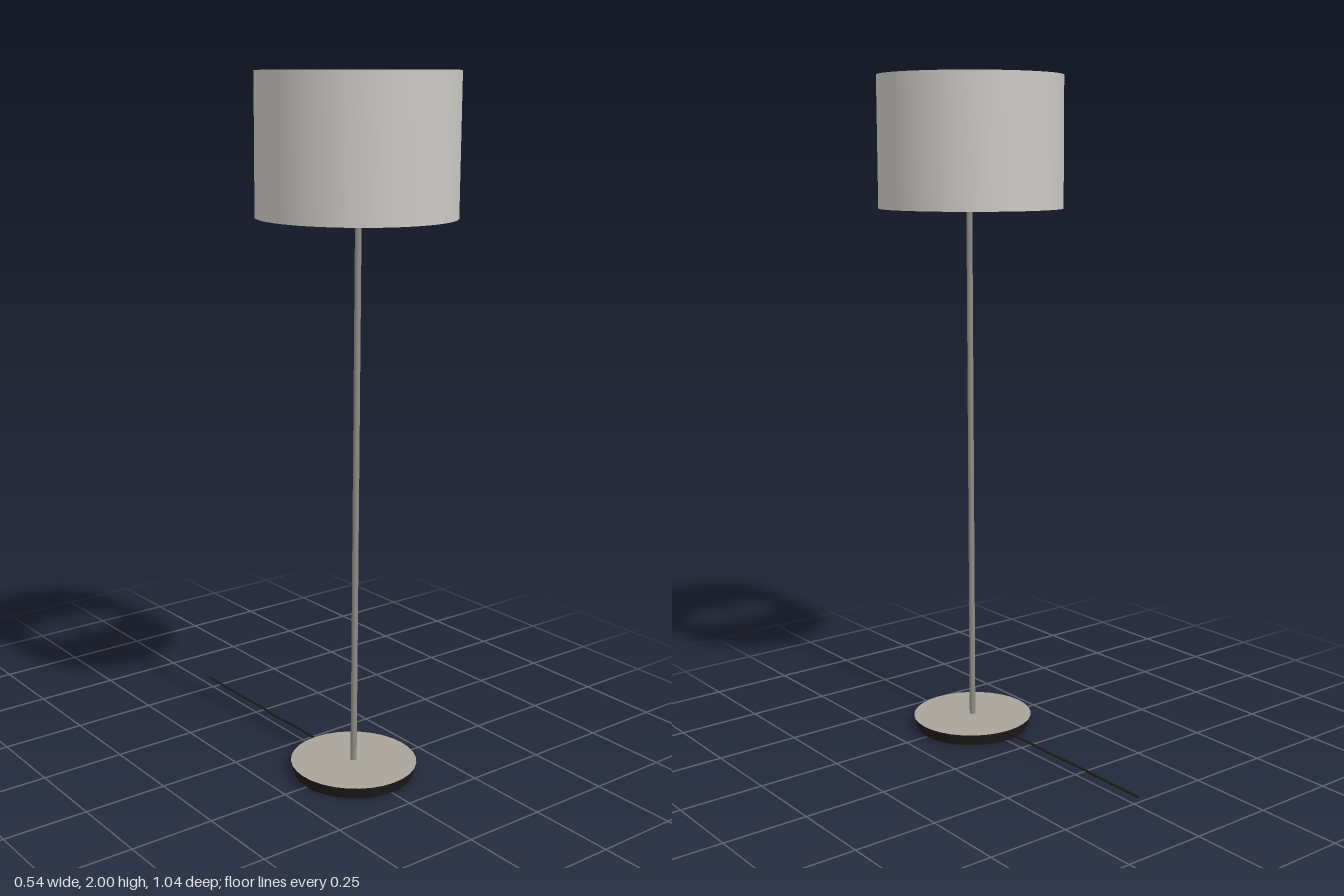
import * as THREE from 'three';
import { toCreasedNormals } from 'three/addons/utils/BufferGeometryUtils.js';

const SHADE_Z = 0.24; // centre of the shade
const POLE_Z = 0.248; // centre of the pole and base
const BAR_Y = 1.86; // height of the bar that carries the shade

function paint(name, color) {
  const material = new THREE.MeshStandardMaterial({ color });
  material.name = name;
  return material;
}

export function createModel() {
  const lamp = new THREE.Group();
  lamp.name = 'floorLamp';

  const fabric = paint('shadeFabric', 0xcbc9c4);
  const metal = paint('brushedMetal', 0x8f8c85);
  const plate = paint('basePlateGrey', 0xa8a49b);
  const black = paint('black', 0x1e1c1a);

  const add = (name, geometry, material, x = 0, y = 0, z = 0) => {
    const mesh = new THREE.Mesh(geometry, material);
    mesh.name = name;
    mesh.position.set(x, y, z);
    lamp.add(mesh);
    return mesh;
  };

  // Base: grey top, black tapered rim and underside
  add('base', toCreasedNormals(new THREE.CylinderGeometry(0.184, 0.174, 0.035, 32), 0.5),
    [black, plate, black], 0, 0.0175, POLE_Z);

  // Pole from the base up to the cross bar
  add('pole', new THREE.CylinderGeometry(0.009, 0.009, BAR_Y - 0.03, 16), metal,
    0, (BAR_Y + 0.03) / 2, POLE_Z);
  add('poleCap', new THREE.CylinderGeometry(0.011, 0.011, 0.02, 16), metal, 0, BAR_Y, POLE_Z);

  // Bar across the inside of the shade
  const bar = new THREE.CylinderGeometry(0.006, 0.006, 0.542, 12).rotateX(Math.PI / 2);
  add('crossBar', bar, metal, 0, BAR_Y, SHADE_Z);

  // Open drum shade with a thin wall, slightly deeper than wide
  const wall = [[0.262, 1.615], [0.271, 1.615], [0.271, 2], [0.262, 2], [0.262, 1.615]]
    .map(([r, y]) => new THREE.Vector2(r, y));
  const shade = add('shade', toCreasedNormals(new THREE.LatheGeometry(wall, 72), 0.5),
    fabric, 0, 0, SHADE_Z);
  shade.scale.z = 1.03;

  // Power cord running out behind the base
  const path = new THREE.CatmullRomCurve3([
    [0, 0.028, 0.09], [0.001, 0.029, -0.05], [-0.001, 0.026, -0.14],
    [0, 0.029, -0.22], [-0.001, 0.027, -0.35], [0, 0.027, -0.52],
  ].map((p) => new THREE.Vector3(...p)));
  add('cord', new THREE.TubeGeometry(path, 40, 0.0035, 8), black);

  return lamp;
}
